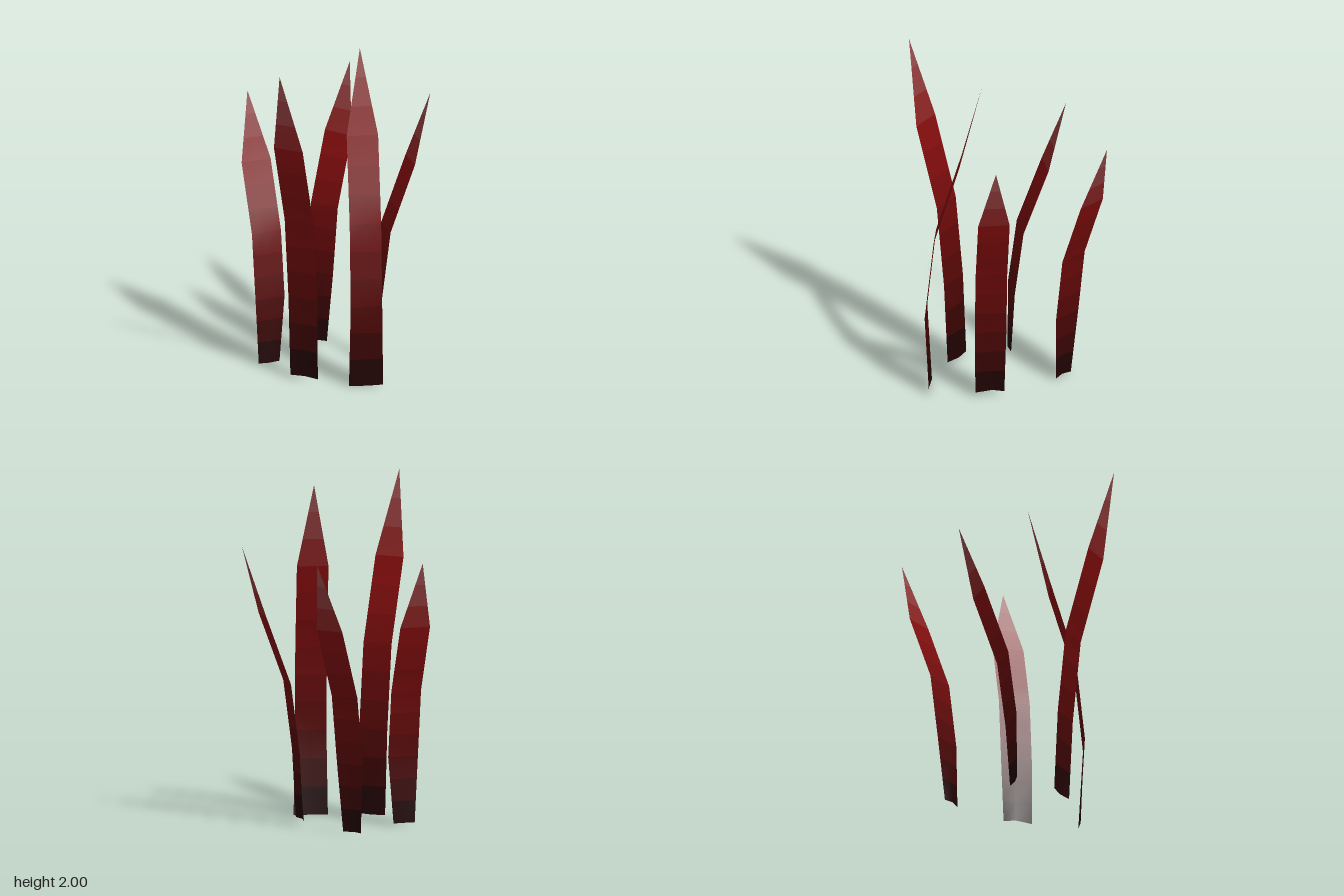
import * as THREE from 'three';

const HALF_WIDTH = 0.092;
const STEPS = 3; // colour bands per blade segment

// base: three [x, z] points of the creased foot; shoulder and tip: [x, z] on the centre line
const BLADES = [
  { name: 'frontLeftBlade', y0: 0.02, y1: 2.0, base: [[-0.305, 0.08], [-0.25, 0.15], [-0.22, 0.235]], shoulder: [-0.455, 0.27], tip: [-0.56, 0.33] },
  { name: 'frontMiddleBlade', y0: 0, y1: 1.98, base: [[0.07, 0.48], [-0.02, 0.44], [-0.105, 0.385]], shoulder: [0.065, 0.28], tip: [0.125, 0.17] },
  { name: 'frontRightBlade', y0: 0.03, y1: 1.64, base: [[0.203, 0.245], [0.212, 0.143], [0.254, 0.084]], shoulder: [0.44, 0.232], tip: [0.556, 0.27] },
  { name: 'backLeftBlade', y0: 0.01, y1: 1.58, base: [[-0.21, -0.163], [-0.275, -0.17], [-0.335, -0.195]], shoulder: [-0.22, -0.383], tip: [-0.195, -0.505] },
  { name: 'backRightBlade', y0: 0.01, y1: 1.62, base: [[0.2, -0.266], [0.158, -0.325], [0.152, -0.382]], shoulder: [0.385, -0.412], tip: [0.5, -0.458] },
];

// One material per band, from a black foot through red to a pale tip
function makeMaterials() {
  const foot = new THREE.Color(0x040202);
  const red = new THREE.Color(0x860d0d);
  const pale = new THREE.Color(0x9a5a5a);
  return Array.from({ length: 4 * STEPS }, (_, i) => {
    const t = (i + 0.5) / STEPS;
    const color = t < 3 ? foot.clone().lerp(red, t / 3) : red.clone().lerp(pale, (t - 3) * 0.8);
    return new THREE.MeshStandardMaterial({ color, side: THREE.DoubleSide });
  });
}

// Leaning strip, three points across, narrowing from the shoulder to the tip
function bladeGeometry({ y0, y1, base, shoulder, tip }) {
  const lean = new THREE.Vector2(tip[0] - shoulder[0], tip[1] - shoulder[1]).normalize();
  const row = (level, offset, half) => [-1, 0, 1].map((s) => new THREE.Vector3(
    shoulder[0] + lean.x * offset + lean.y * s * half,
    y0 + (y1 - y0) * level,
    shoulder[1] + lean.y * offset - lean.x * s * half));
  const keys = [
    base.map(([x, z]) => new THREE.Vector3(x, y0, z)),
    row(0.25, -0.2, HALF_WIDTH),
    row(0.5, -0.148, HALF_WIDTH),
    row(0.75, 0, HALF_WIDTH),
    [0, 1, 2].map(() => new THREE.Vector3(tip[0], y1, tip[1])),
  ];
  // Base rows run the same way across as the upper rows
  const points = [];
  const total = 4 * STEPS;
  for (let i = 0; i <= total; i++) {
    const k = Math.min(3, Math.floor(i / STEPS));
    for (let c = 0; c < 3; c++) points.push(keys[k][c].clone().lerp(keys[k + 1][c], i / STEPS - k));
  }
  const geometry = new THREE.BufferGeometry().setFromPoints(points);
  const index = [];
  for (let i = 0; i < total; i++) {
    const start = index.length;
    for (let c = 0; c < 2; c++) {
      const a = i * 3 + c;
      index.push(a, a + 3, a + 1);
      if (i < total - 1) index.push(a + 1, a + 3, a + 4);
    }
    geometry.addGroup(start, index.length - start, i);
  }
  geometry.setIndex(index);
  geometry.computeVertexNormals();
  // The tip points share one normal across the blade
  const n = geometry.attributes.normal;
  const last = total * 3;
  for (let c = 0; c < 3; c++) n.setXYZ(last + c, n.getX(last - 2), n.getY(last - 2), n.getZ(last - 2));
  return geometry;
}

export function createModel() {
  const group = new THREE.Group();
  group.name = 'grassTuft';
  const materials = makeMaterials();
  for (const blade of BLADES) {
    const mesh = new THREE.Mesh(bladeGeometry(blade), materials);
    mesh.name = blade.name;
    group.add(mesh);
  }
  return group;
}
